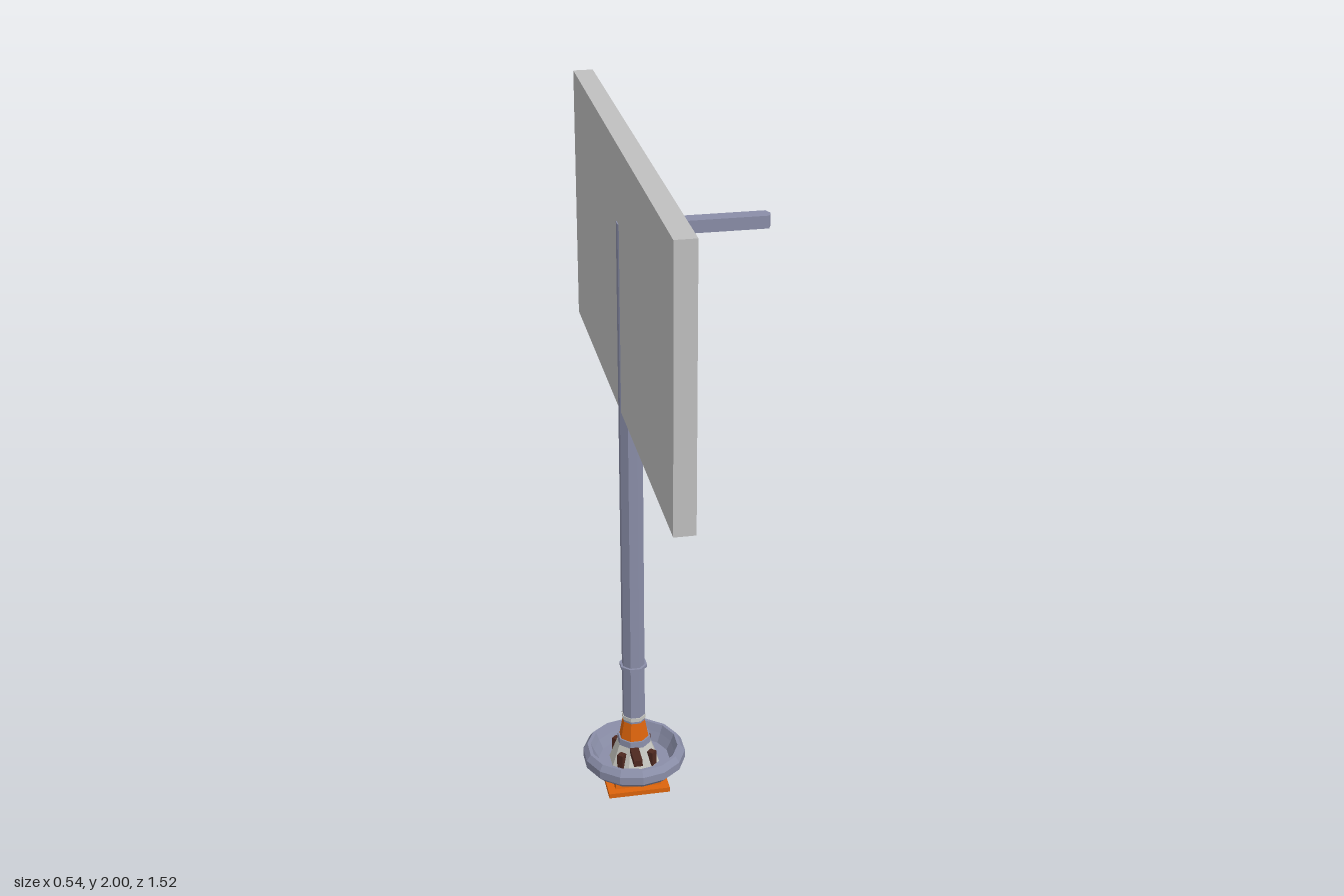
import * as THREE from 'three';

const mat = (name, color, side = THREE.FrontSide) => {
  const m = new THREE.MeshStandardMaterial({ color, side });
  m.name = name;
  return m;
};

export function createModel() {
  const steel = mat('blue grey steel', 0x8a8ea8);
  const orange = mat('orange paint', 0xdc640c);
  const panel = mat('light grey panel', 0xc0c0c0);
  const pale = mat('pale metal', 0xc6c6c0);
  const brown = mat('dark brown', 0x4e2820);

  const model = new THREE.Group();
  model.name = 'signPost';
  // everything but the arm stands on the post axis
  const post = new THREE.Group();
  post.name = 'post';
  post.position.x = -0.118;
  model.add(post);

  const add = (name, geo, material, x = 0, y = 0, z = 0, parent = post) => {
    const flat = geo.index ? geo.toNonIndexed() : geo;
    flat.computeVertexNormals();
    const mesh = new THREE.Mesh(flat, material);
    mesh.name = name;
    mesh.position.set(x, y, z);
    parent.add(mesh);
    return mesh;
  };
  // faceted frustum from y0 to y1 with a flat side facing +x
  const frustum = (name, material, r0, r1, y0, y1, sides = 8) => {
    const g = new THREE.CylinderGeometry(r1, r0, y1 - y0, sides);
    g.rotateY(Math.PI / sides);
    return add(name, g, material, 0, (y0 + y1) / 2);
  };

  // square foot
  add('footPlate', new THREE.BoxGeometry(0.186, 0.015, 0.186), orange, 0, 0.0075);
  frustum('footBlock', orange, 0.1, 0.088, 0.015, 0.055, 4);

  // open bowl around the foot
  const bowl = [[0, 0.05], [0.1, 0.05], [0.135, 0.06], [0.155, 0.08], [0.155, 0.105],
    [0.142, 0.123], [0.132, 0.123], [0.122, 0.1], [0.108, 0.072], [0, 0.072]];
  add('bowl', new THREE.LatheGeometry(bowl.map(p => new THREE.Vector2(...p)), 14), steel);

  // stepped collar
  frustum('skirt', pale, 0.078, 0.052, 0.07, 0.14);
  frustum('collarDisc', steel, 0.052, 0.05, 0.138, 0.16);
  frustum('collar', orange, 0.045, 0.033, 0.16, 0.225);
  frustum('collarBand', pale, 0.037, 0.037, 0.225, 0.237);

  // small clips on the skirt and a latch reaching to the front rim
  for (let i = 0; i < 4; i++) {
    const a = Math.PI / 4 + i * Math.PI / 2;
    const clip = add('clip', new THREE.BoxGeometry(0.02, 0.045, 0.02), brown,
      Math.cos(a) * 0.065, 0.1, -Math.sin(a) * 0.065);
    clip.rotation.y = a;
  }
  add('latch', new THREE.BoxGeometry(0.026, 0.02, 0.07), brown, -0.008, 0.134, 0.085);

  // pole, its ring and the board it passes through
  frustum('pole', steel, 0.0345, 0.0345, 0.2, 1.785);
  frustum('poleRing', steel, 0.042, 0.042, 0.404, 0.413);
  add('board', new THREE.BoxGeometry(0.058, 0.76, 1.52), panel, 0, 1.62);

  // side arm with a blunt pointed tip
  const plan = new THREE.Shape([[-0.1, -0.023], [0.261, -0.023], [0.27, 0],
    [0.261, 0.023], [-0.1, 0.023]].map(p => new THREE.Vector2(...p)));
  const arm = new THREE.ExtrudeGeometry(plan, { depth: 0.036, bevelEnabled: false });
  arm.rotateX(-Math.PI / 2);
  add('sideArm', arm, steel, 0, 1.75, 0, model);

  return model;
}
